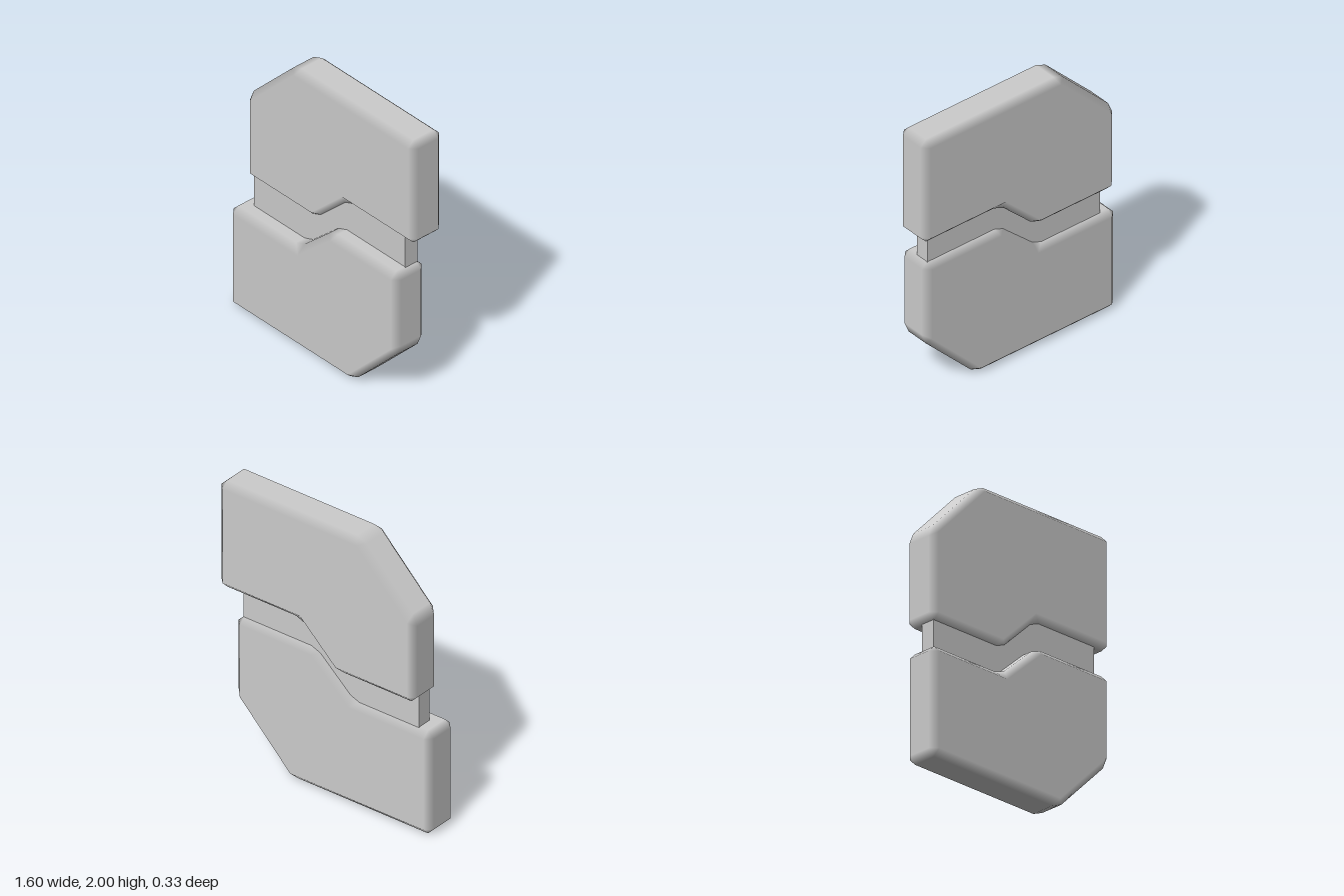
import * as THREE from 'three';

const BEVEL = 0.045;

// Plate from a counter-clockwise outline: flat faces, clipped corners and softly shaded bevels
function bevelledPlate(corners, zBack, zFront) {
  const pts = corners.map(([x, y]) => new THREE.Vector2(x, y));
  const n = pts.length;
  const dirs = pts.map((p, i) => pts[(i + 1) % n].clone().sub(p).normalize());
  const outs = dirs.map(d => new THREE.Vector2(d.y, -d.x));

  // Cap corners: the outline moved inwards by the bevel width
  const inset = pts.map((p, i) => {
    const a = outs[(i + n - 1) % n], b = outs[i];
    return p.clone().addScaledVector(a.clone().add(b), -BEVEL / (1 + a.dot(b)));
  });

  const position = [], normal = [], index = [];
  const add = (p, z, nx, ny, nz) => {
    position.push(p.x, p.y, z);
    normal.push(nx, ny, nz);
  };

  // Two columns per corner (end of one edge, start of the next), four levels each
  for (let i = 0; i < n; i++) {
    for (const side of [-1, 1]) {
      const e = side < 0 ? (i + n - 1) % n : i;
      const rim = pts[i].clone().addScaledVector(dirs[e], side * BEVEL);
      const o = outs[e];
      add(inset[i], zBack, 0, 0, -1);
      add(rim, zBack + BEVEL, o.x, o.y, 0);
      add(rim, zFront - BEVEL, o.x, o.y, 0);
      add(inset[i], zFront, 0, 0, 1);
    }
  }
  const columns = 2 * n;
  for (let c = 0; c < columns; c++) {
    const a = c * 4, b = ((c + 1) % columns) * 4;
    for (let k = 0; k < 3; k++) {
      index.push(a + k, b + k, b + k + 1, a + k, b + k + 1, a + k + 1);
    }
  }

  // Front and back faces
  for (const [i, j, k] of THREE.ShapeUtils.triangulateShape(inset, [])) {
    index.push(i * 8 + 3, j * 8 + 3, k * 8 + 3);
    index.push(k * 8, j * 8, i * 8);
  }

  const geometry = new THREE.BufferGeometry();
  geometry.setAttribute('position', new THREE.Float32BufferAttribute(position, 3));
  geometry.setAttribute('normal', new THREE.Float32BufferAttribute(normal, 3));
  geometry.setIndex(index);
  return geometry;
}

export function createModel() {
  const model = new THREE.Group();
  model.name = 'steppedPlates';
  const grey = new THREE.MeshStandardMaterial({ color: 0xcccccc });
  grey.name = 'lightGrey';

  const addPart = (name, geometry) => {
    const mesh = new THREE.Mesh(geometry, grey);
    mesh.name = name;
    model.add(mesh);
    return mesh;
  };

  // Upper plate, set towards the back
  addPart('upperPlate', bevelledPlate([
    [-0.73, 0.965], [-0.11, 0.965], [0.17, 1.23], [0.8, 1.23],
    [0.8, 2], [-0.305, 2], [-0.73, 1.57],
  ], -0.165, 0.09));

  // Lower plate, set towards the front
  addPart('lowerPlate', bevelledPlate([
    [-0.8, 0], [0.305, 0], [0.725, 0.425], [0.725, 1.01],
    [0.11, 1.01], [-0.185, 0.745], [-0.8, 0.745],
  ], -0.09, 0.165));

  // Thin web joining the plates across the stepped gap
  addPart('connectingWeb', new THREE.BoxGeometry(1.375, 0.8, 0.1)).position.set(-0.0025, 1, 0);

  return model;
}
